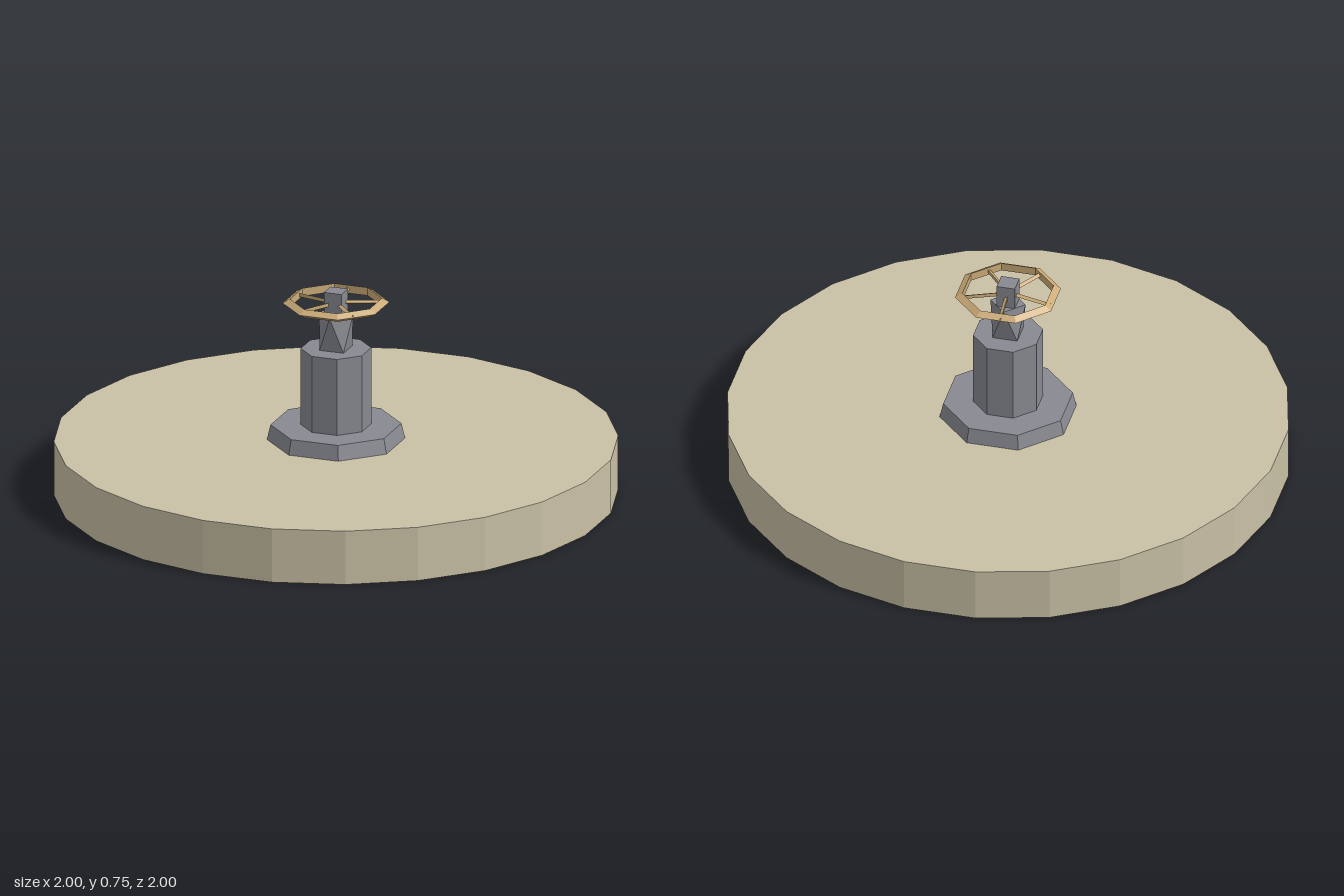
import * as THREE from 'three';

export function createModel() {
  const model = new THREE.Group();
  const flat = (name, color) => {
    const m = new THREE.MeshStandardMaterial({ color, flatShading: true });
    m.name = name;
    return m;
  };
  const stone = flat('sandStone', 0xc9c0a5);
  const steel = flat('greySteel', 0x888a91);
  const brass = flat('brass', 0xcbab78);

  const add = (parent, name, geometry, material) => {
    const mesh = new THREE.Mesh(geometry, material);
    mesh.name = name;
    parent.add(mesh);
    return mesh;
  };
  // Upright prism between two heights
  const prism = (name, rBottom, rTop, y0, y1, sides, material, turn = 0) => {
    const g = new THREE.CylinderGeometry(rTop, rBottom, y1 - y0, sides, 1, false, turn);
    g.translate(0, (y0 + y1) / 2, 0);
    return add(model, name, g, material);
  };

  prism('baseDisc', 1, 1, 0, 0.2, 24, stone);
  prism('flange', 0.245, 0.232, 0.2, 0.255, 8, steel);
  prism('body', 0.125, 0.125, 0.255, 0.54, 8, steel);
  prism('stem', 0.047, 0.047, 0.67, 0.755, 4, steel, Math.PI / 8);

  // Neck: square antiprism, its top turned 45 degrees from its bottom
  const corner = (i, turn, y) => {
    const a = i * Math.PI / 2 + turn;
    return [0.064 * Math.sin(a), y, 0.064 * Math.cos(a)];
  };
  const pos = [];
  for (let i = 0; i < 4; i++) {
    const b0 = corner(i, Math.PI / 8, 0.54), b1 = corner(i + 1, Math.PI / 8, 0.54);
    const t0 = corner(i, -Math.PI / 8, 0.67), t1 = corner(i + 1, -Math.PI / 8, 0.67);
    pos.push(...t0, ...b0, ...t1, ...b0, ...b1, ...t1);
    pos.push(...t0, ...t1, 0, 0.67, 0, ...b1, ...b0, 0, 0.54, 0);
  }
  const neck = new THREE.BufferGeometry();
  neck.setAttribute('position', new THREE.Float32BufferAttribute(pos, 3));
  neck.computeVertexNormals();
  add(model, 'neck', neck, steel);

  // Handwheel: eight-sided rim with five thin spokes
  const wheel = new THREE.Group();
  wheel.name = 'handwheel';
  wheel.position.y = 0.71;
  model.add(wheel);
  const rim = new THREE.TorusGeometry(0.172, 0.0175, 3, 8);
  rim.rotateX(-Math.PI / 2);
  add(wheel, 'rim', rim, brass);
  for (let i = 0; i < 5; i++) {
    const g = new THREE.CylinderGeometry(0.008, 0.008, 0.14, 3);
    g.rotateZ(-Math.PI / 2);
    g.translate(0.1, 0, 0);
    g.rotateY(-i * Math.PI * 2 / 5);
    add(wheel, 'spoke' + (i + 1), g, brass);
  }
  return model;
}
